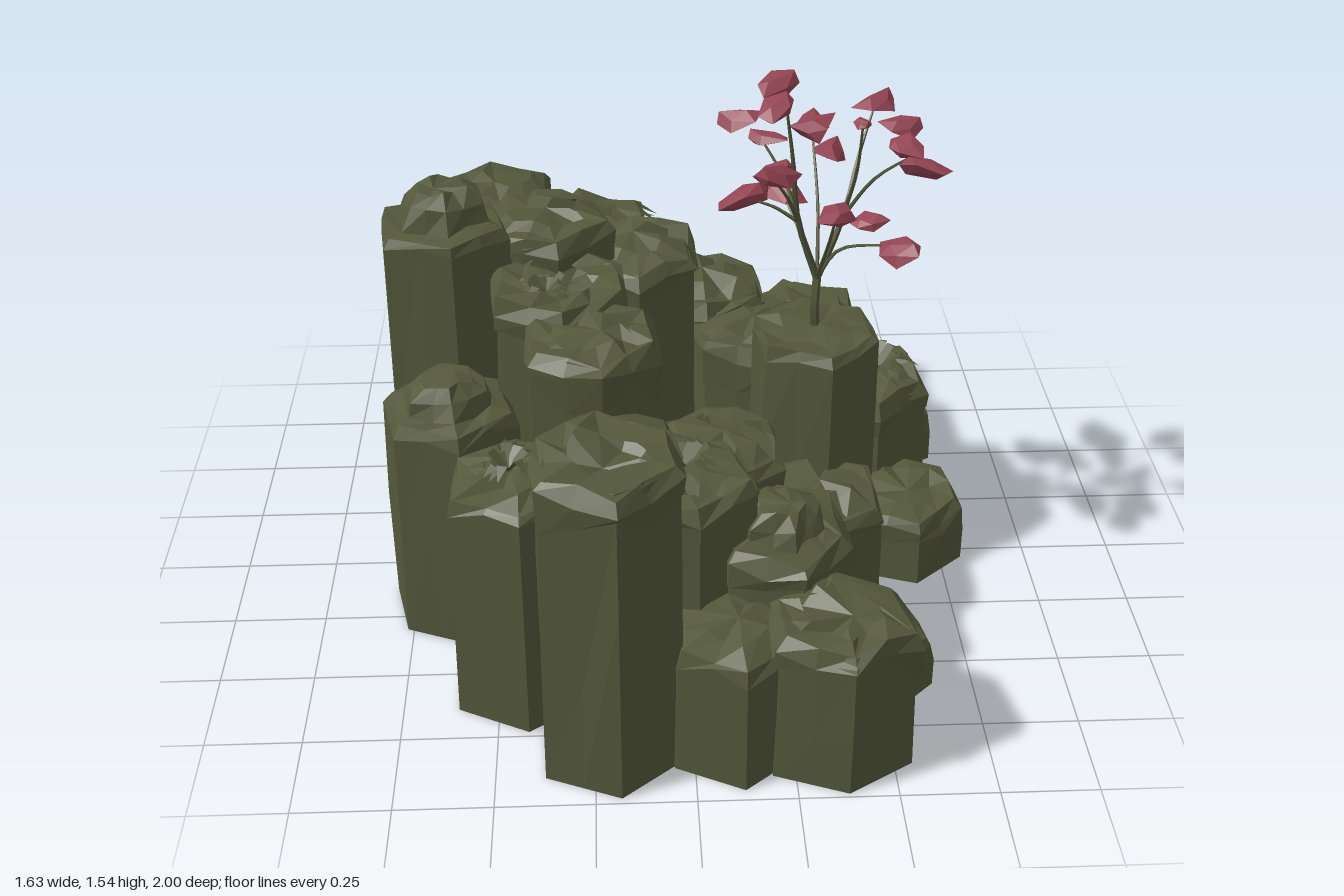
import * as THREE from 'three';

const rock = new THREE.MeshStandardMaterial({ color: 0x54583b, flatShading: true, side: THREE.DoubleSide });
rock.name = 'mossy olive rock';
const foliage = new THREE.MeshStandardMaterial({ color: 0x934452, flatShading: true });
foliage.name = 'dusty red foliage';

let seed = 11;
const rand = () => (seed = (seed * 16807) % 2147483647) / 2147483647;
const jit = (a) => (rand() * 2 - 1) * a;

// Joins equal-length rings of points into walls; optionally closes both ends with a point
function loft(rings, bottom, top) {
  const n = rings[0].length, pos = [], idx = [];
  rings.forEach((r) => r.forEach((p) => pos.push(...p)));
  for (let k = 0; k < rings.length - 1; k++) for (let i = 0; i < n; i++) {
    const a = k * n + i, b = k * n + (i + 1) % n;
    idx.push(a, b, a + n, b, b + n, a + n);
  }
  const cap = (p, start, flip) => {
    const c = pos.length / 3;
    pos.push(...p);
    for (let i = 0; i < n; i++) {
      const a = start + i, b = start + (i + 1) % n;
      idx.push(...(flip ? [b, a, c] : [a, b, c]));
    }
  };
  if (bottom) cap(bottom, 0, true);
  if (top) cap(top, (rings.length - 1) * n, false);
  const g = new THREE.BufferGeometry();
  g.setAttribute('position', new THREE.Float32BufferAttribute(pos, 3));
  g.setIndex(idx);
  g.computeVertexNormals();
  return g;
}

function add(parent, name, geo, mat) {
  const m = new THREE.Mesh(geo, mat);
  m.name = name;
  parent.add(m);
  return m;
}

// Six-sided stone column with a chipped, raised (cap > 0) or hollow (cap < 0) top
function column(parent, x, z, h, cap, drape) {
  const g = new THREE.Group();
  g.name = 'basaltColumn';
  g.position.set(x, 0, z);
  const turn = 0.14 + jit(0.1), n = 12;
  const outline = Array.from({ length: 6 }, (_, i) => {
    const a = -(turn + (i + 0.5) * Math.PI / 3), r = 0.197 + jit(0.012);
    return [Math.cos(a) * r, -Math.sin(a) * r];
  }).reverse();
  const ring = (s, y, dy, ds = 0) => Array.from({ length: n }, (_, i) => {
    const a = outline[i >> 1], b = outline[((i >> 1) + 1) % 6], t = i % 2 ? 0.5 : 0;
    const k = s + jit(ds);
    return [(a[0] + (b[0] - a[0]) * t) * k, y + jit(dy), -(a[1] + (b[1] - a[1]) * t) * k];
  }).reverse();
  const rings = [ring(1, 0, 0), ring(0.99, h * 0.5, h * 0.2, 0.03), ring(0.96, h - 0.03, 0.02, 0.03), ring(0.87, h, 0.01, 0.05)];
  if (cap > 0.05) rings.push(ring(0.64, h + 0.005, 0.008, 0.05), ring(0.56, h + cap * 0.6, 0.015, 0.07), ring(0.34, h + cap, 0.01, 0.05));
  else rings.push(ring(0.5, h + cap * 0.7, 0.02, 0.12));
  // The tallest cap is slightly hollow
  const peak = cap > 0.1 ? h + 0.05 : h + cap;
  add(g, 'stone', loft(rings.map((r) => r.reverse()), [0, 0, 0], [jit(0.03), peak, jit(0.03)]), rock);
  // Ragged skirt of moss over the rim
  if (drape) {
    const skirt = [ring(1, h - drape * 0.9, drape * 0.8, 0.015), ring(1.03, h - drape * 0.3, 0.025, 0.04), ring(0.9, h + 0.01, 0.015, 0.05), ring(0.55, h + 0.012, 0.018, 0.12)];
    add(g, 'mossSkirt', loft(skirt.map((r) => r.reverse())), rock);
  }
  parent.add(g);
}

// Low tuft of bent tapering blades
function tuft(parent, x, y, z, size) {
  const pos = [], idx = [];
  for (let i = 0; i < 18; i++) {
    const a = i * 2.4, l = size * (0.6 + rand() * 0.4), lift = size * (0.1 + rand() * 0.35), w = 0.014;
    const c = Math.cos(a), s = Math.sin(a), o = pos.length / 3;
    pos.push(-s * w, 0, c * w, s * w, 0, -c * w,
      c * l * 0.55 - s * w, lift, s * l * 0.55 + c * w, c * l * 0.55 + s * w, lift, s * l * 0.55 - c * w,
      c * l, lift * 0.5, s * l);
    idx.push(o, o + 2, o + 1, o + 1, o + 2, o + 3, o + 2, o + 4, o + 3);
  }
  const g = new THREE.BufferGeometry();
  g.setAttribute('position', new THREE.Float32BufferAttribute(pos, 3));
  g.setIndex(idx);
  g.computeVertexNormals();
  add(parent, 'fernTuft', g, rock).position.set(x, y, z);
}

// Tapering round branch through a few points
function branch(parent, name, points, r0, r1) {
  const curve = new THREE.CatmullRomCurve3(points.map((p) => new THREE.Vector3(...p)));
  const geo = new THREE.TubeGeometry(curve, 8, 1, 5), p = geo.attributes.position;
  for (let i = 0; i < p.count; i++) {
    const t = Math.floor(i / 6) / 8, c = curve.getPointAt(t);
    const v = new THREE.Vector3().fromBufferAttribute(p, i).sub(c).multiplyScalar(r0 + (r1 - r0) * t).add(c);
    p.setXYZ(i, v.x, v.y, v.z);
  }
  geo.computeVertexNormals();
  add(parent, name, geo, rock);
}

// Flat angular clump, made uneven by a wave over its corners
function leafClump(parent, x, y, z, r) {
  const geo = new THREE.IcosahedronGeometry(1, 0), p = geo.attributes.position, phase = rand() * 6;
  for (let i = 0; i < p.count; i++) {
    const v = new THREE.Vector3().fromBufferAttribute(p, i);
    v.multiplyScalar(1 + 0.3 * Math.sin(v.x * 5 + v.y * 3 + v.z * 7 + phase));
    p.setXYZ(i, v.x * r * 1.2, v.y * r * 0.42, v.z * r * 0.8);
  }
  geo.computeVertexNormals();
  const leaf = add(parent, 'leafClump', geo, foliage);
  leaf.position.set(x, y, z);
  leaf.rotation.set(jit(0.35), -Math.atan2(z, x - 0.37), jit(0.35), 'YXZ');
}

export function createModel() {
  const model = new THREE.Group();
  model.name = 'basaltIsland';

  // Columns: x, z, height, cap rise, skirt depth
  const columns = new THREE.Group();
  columns.name = 'columns';
  model.add(columns);
  [
    [-0.46, -0.7, 0.74, 0.04, 0.06], [-0.15, -0.71, 0.68, 0.03, 0], [0.11, -0.76, 0.44, 0.04, 0.05],
    [0.42, -0.81, 0.37, 0.02, 0], [0.62, -0.57, 0.18, 0.03, 0], [0.36, -0.53, 0.5, 0.04, 0.09],
    [0.08, -0.53, 0.62, 0.04, 0.08], [-0.51, -0.45, 0.98, 0.03, 0], [-0.25, -0.48, 0.85, 0.03, 0.07],
    [0.54, -0.28, 0.44, 0.02, 0.1], [0.21, -0.34, 0.58, 0.04, 0.08], [-0.12, -0.28, 0.87, 0.04, 0.08],
    [-0.64, -0.17, 1.03, 0.1, 0], [-0.37, -0.25, 0.98, 0.02, 0.08], [0.64, -0.03, 0.2, 0.01, 0],
    [0.37, 0, 0.765, 0.005, 0], [-0.33, 0.01, 0.92, -0.03, 0.08], [-0.63, 0.18, 0.66, 0.08, 0],
    [-0.24, 0.25, 0.89, 0.03, 0.09], [0.08, 0.28, 0.57, 0.04, 0.08], [0.34, 0.27, 0.41, 0.03, 0.07],
    [-0.43, 0.53, 0.66, 0.02, 0], [-0.03, 0.53, 0.65, 0.03, 0.05], [0.23, 0.54, 0.49, 0.08, 0.07],
    [0.45, 0.53, 0.16, 0.02, 0], [-0.21, 0.78, 0.88, -0.05, 0.1], [0.1, 0.77, 0.36, 0.03, 0],
    [0.36, 0.8, 0.41, 0.02, 0.09], [-0.2, 0.5, 0.72, 0.03, 0],
  ].forEach((c) => column(columns, ...c));

  // Ferns on the flatter tops
  [[-0.45, 0.68, 0.54, 0.12], [-0.02, 0.68, 0.54, 0.14], [0.62, 0.21, -0.57, 0.14], [0.58, 0.455, -0.28, 0.14],
    [-0.15, 0.71, -0.75, 0.13], [-0.36, 0.9, 0.02, 0.09]].forEach((t) => tuft(model, ...t));

  // Sapling
  const tree = new THREE.Group();
  tree.name = 'sapling';
  model.add(tree);
  const fork = [0.365, 0.91, -0.01], left = [0.305, 1.1, 0.03], right = [0.43, 1.09, -0.02];
  branch(tree, 'trunk', [[0.365, 0.75, -0.01], [0.36, 0.83, 0], fork], 0.014, 0.012);
  branch(tree, 'limb', [fork, left, [0.28, 1.3, 0.1], [0.25, 1.5, 0.14]], 0.011, 0.003);
  branch(tree, 'limb', [fork, right, [0.47, 1.22, -0.09], [0.52, 1.34, -0.17]], 0.011, 0.003);
  [
    [left, [0.27, 1.2, -0.02], [0.2, 1.31, -0.08]],
    [right, [0.5, 1.22, 0.03], [0.6, 1.32, 0.09]],
    [fork, [0.37, 1.08, -0.09], [0.36, 1.27, -0.23]],
    [fork, [0.38, 1.05, 0.08], [0.38, 1.22, 0.23]],
    [fork, [0.42, 1.01, 0.02], [0.56, 1.05, 0.08]],
    [fork, [0.32, 1.02, -0.07], [0.28, 1.09, -0.18]],
    [left, [0.24, 1.14, 0.02], [0.17, 1.16, 0.01]],
    [right, [0.45, 1.25, 0.05], [0.45, 1.42, 0.12]],
    [left, [0.27, 1.2, 0.1], [0.22, 1.3, 0.18]],
  ].forEach((p) => branch(tree, 'twig', p, 0.006, 0.003));

  // Leaf clumps: x, y, z, half length
  [
    [0.24, 1.51, 0.08, 0.05], [0.23, 1.49, 0.18, 0.05], [0.45, 1.42, 0.13, 0.025], [0.15, 1.33, -0.12, 0.055],
    [0.22, 1.3, -0.06, 0.055], [0.36, 1.28, -0.17, 0.075], [0.37, 1.26, -0.26, 0.055], [0.53, 1.35, -0.17, 0.06],
    [0.59, 1.32, -0.08, 0.055], [0.6, 1.31, 0.16, 0.055], [0.56, 1.34, 0.1, 0.05], [0.17, 1.16, 0.0, 0.06],
    [0.28, 1.09, -0.19, 0.065], [0.5, 1.07, -0.02, 0.05], [0.57, 1.05, 0.11, 0.065], [0.38, 1.22, 0.24, 0.06],
    [0.22, 1.31, 0.19, 0.065], [0.24, 1.29, 0.12, 0.05], [0.4, 1.25, -0.09, 0.055],
  ].forEach((l) => leafClump(tree, ...l));

  return model;
}
